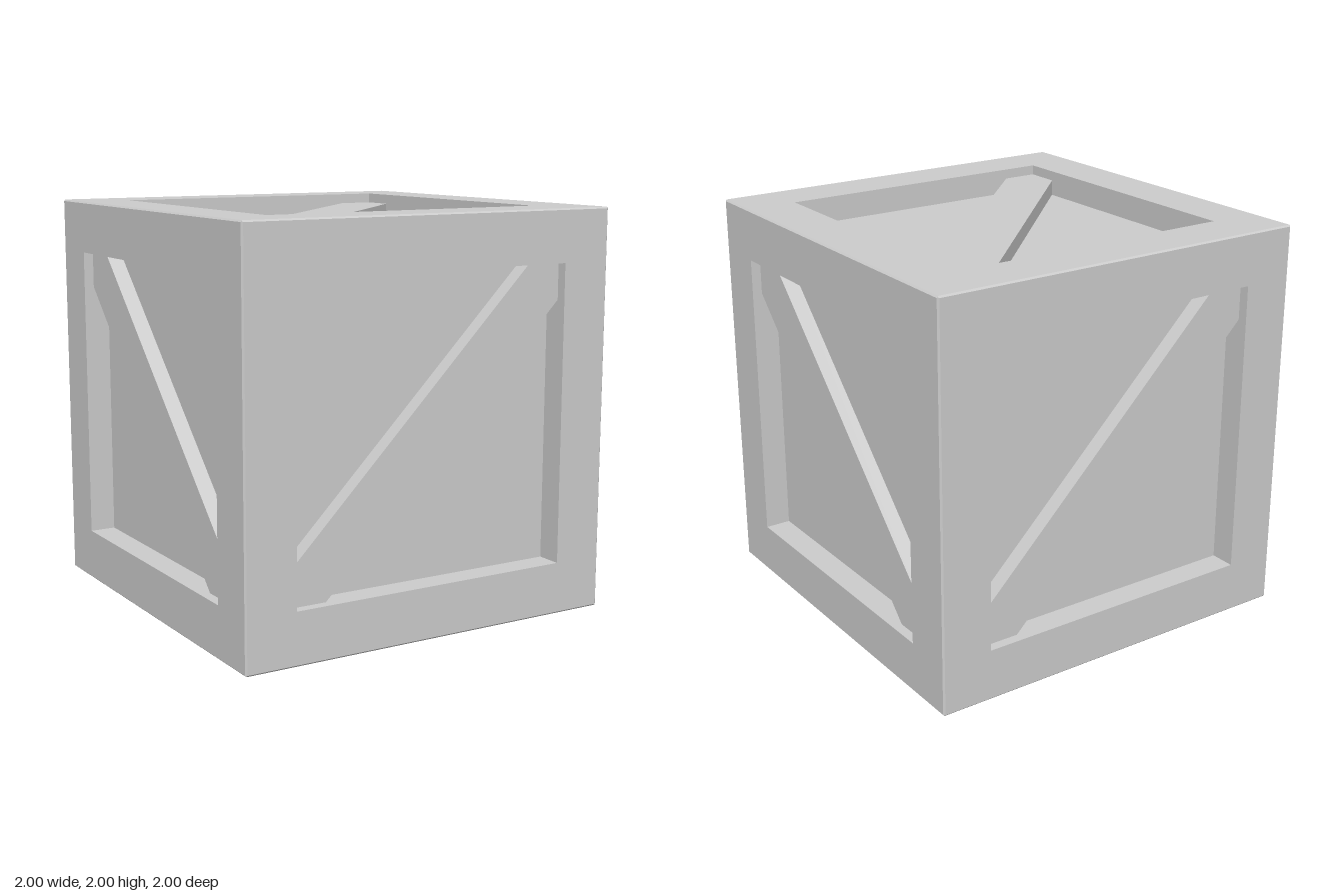
import * as THREE from 'three';

const OPENING = 0.74;  // half width of the recessed opening
const PANEL = 0.87;    // panel distance from the crate centre
const BRACE = 0.95;    // outer face of the diagonal brace
const CUT = 0.18;      // brace half width, measured along the opening edge
const BEVEL = 0.008;   // fine chamfer on the outer edges

const material = new THREE.MeshStandardMaterial({ color: 0xcccccc, flatShading: true });

function mesh(name, geometry) {
  const m = new THREE.Mesh(geometry, material);
  m.name = name;
  return m;
}

// Square border: a four-sided lathe, from the chamfer inwards and down to the panel
function frameGeometry() {
  const profile = [
    [1 - BEVEL / 2, 1 - BEVEL / 2],
    [1 - BEVEL, 1],
    [OPENING, 1],
    [OPENING, PANEL],
  ].map(([r, h]) => new THREE.Vector2(r * Math.SQRT2, h));
  const g = new THREE.LatheGeometry(profile, 4, Math.PI / 4).toNonIndexed();
  g.rotateX(Math.PI / 2);
  g.computeVertexNormals();
  return g;
}

// Diagonal plank, trimmed to the corners of the opening
function braceGeometry() {
  const a = OPENING, b = OPENING - CUT;
  const outline = [[-a, -a], [-b, -a], [a, b], [a, a], [b, a], [-a, -b]];
  const shape = new THREE.Shape(outline.map(([x, y]) => new THREE.Vector2(x, y)));
  const g = new THREE.ExtrudeGeometry(shape, { depth: BRACE - PANEL, bevelEnabled: false });
  return g.translate(0, 0, PANEL);
}

export function createModel() {
  const crate = new THREE.Group();
  crate.name = 'crate';

  const frame = frameGeometry();
  const brace = braceGeometry();
  const panel = new THREE.PlaneGeometry(2 * OPENING, 2 * OPENING).translate(0, 0, PANEL);

  // Rotation of each side; a quarter roll flips the diagonal
  const q = Math.PI / 2;
  const sides = {
    front: [0, 0, 0],
    back: [0, 2 * q, 0],
    left: [0, q, q],
    right: [0, -q, q],
    top: [-q, 0, 0],
    bottom: [q, 0, 0],
  };
  for (const [name, rotation] of Object.entries(sides)) {
    const side = new THREE.Group();
    side.name = name + 'Side';
    side.add(mesh('frame', frame), mesh('panel', panel), mesh('brace', brace));
    side.rotation.set(...rotation);
    side.position.y = 1;
    crate.add(side);
  }
  return crate;
}
